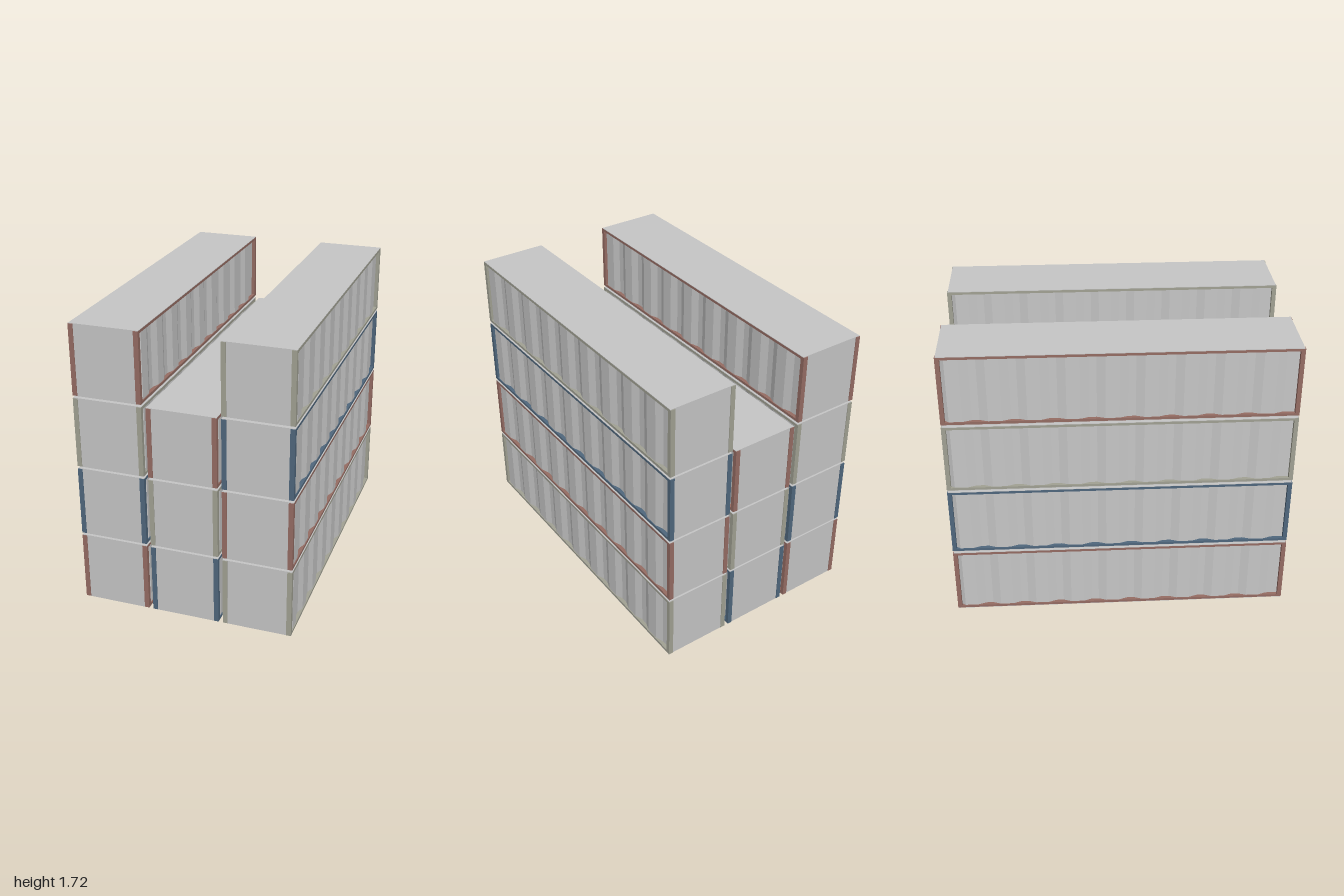
import * as THREE from 'three';

const W = 0.406, H = 0.422, L = 2;            // one container
const PITCH_X = 0.432, PITCH_Y = 0.434;       // stack spacing
const POST_X = 0.028, POST_Z = 0.025, RAIL = 0.018, PLATE = 0.003;

const mat = (name, color) => {
  const m = new THREE.MeshStandardMaterial({ color });
  m.name = name;
  return m;
};

// Corrugated side wall, facing +x: a trapezoid wave in plan, extruded upwards
function corrugatedWall() {
  const outer = W / 2 - 0.005, inner = W / 2 - 0.022, back = W / 2 - 0.03;
  const half = L / 2 - POST_Z, waves = 9, step = (2 * half) / waves;
  const shape = new THREE.Shape();
  shape.moveTo(back, -half);
  shape.lineTo(inner, -half);
  for (let i = 0; i < waves; i++) {
    const z = -half + i * step;
    shape.lineTo(outer, z + 0.1 * step);
    shape.lineTo(outer, z + 0.46 * step);
    shape.lineTo(inner, z + 0.68 * step);
    shape.lineTo(inner, z + 0.88 * step);
  }
  shape.lineTo(inner, half);
  shape.lineTo(back, half);
  const g = new THREE.ExtrudeGeometry(shape, { depth: H - 2 * RAIL, bevelEnabled: false });
  g.rotateX(-Math.PI / 2);
  g.translate(0, RAIL, 0);
  return g;
}

export function createModel() {
  const grey = mat('panel grey', 0xc6c6c6);
  const red = mat('frame red', 0x956c63);
  const blue = mat('frame blue', 0x4f677d);
  const olive = mat('frame olive', 0xa1a193);

  const postGeo = new THREE.BoxGeometry(POST_X, H - 2 * PLATE, POST_Z);
  const railGeo = new THREE.BoxGeometry(POST_X, RAIL - PLATE, L - 2 * POST_Z);
  const plateGeo = new THREE.BoxGeometry(W - 0.001, PLATE, L - 0.008);
  const endGeo = new THREE.BoxGeometry(W - 2 * POST_X, H - 2 * PLATE, 0.012);
  const wallGeo = corrugatedWall();

  function container(frame) {
    const g = new THREE.Group();
    const add = (name, geo, material, x, y, z) => {
      const m = new THREE.Mesh(geo, material);
      m.name = name;
      m.position.set(x, y, z);
      g.add(m);
      return m;
    };
    for (const s of [-1, 1]) {
      const x = s * (W - POST_X) / 2;
      // frame
      for (const e of [-1, 1]) add('cornerPost', postGeo, frame, x, H / 2, e * (L - POST_Z) / 2);
      add('bottomRail', railGeo, frame, x, (RAIL + PLATE) / 2, 0);
      add('topRail', railGeo, frame, x, H - (RAIL + PLATE) / 2, 0);
      // panels
      add('sideWall', wallGeo, grey, 0, 0, 0).rotation.y = s > 0 ? 0 : Math.PI;
      add('endPanel', endGeo, grey, 0, H / 2, s * (L / 2 - 0.01));
    }
    add('floor', plateGeo, grey, 0, PLATE / 2, 0);
    add('roof', plateGeo, grey, 0, H - PLATE / 2, 0);
    return g;
  }

  // Stacks from -x to +x, each listed from the ground up
  const stacks = [
    [red, blue, olive, red],
    [blue, olive, red],
    [olive, red, blue, olive],
  ];
  const model = new THREE.Group();
  model.name = 'containerStack';
  stacks.forEach((stack, i) => stack.forEach((frame, j) => {
    const c = container(frame);
    c.name = `container${i + 1}_${j + 1}`;
    c.position.set((i - 1) * PITCH_X, j * PITCH_Y, 0);
    model.add(c);
  }));
  return model;
}
